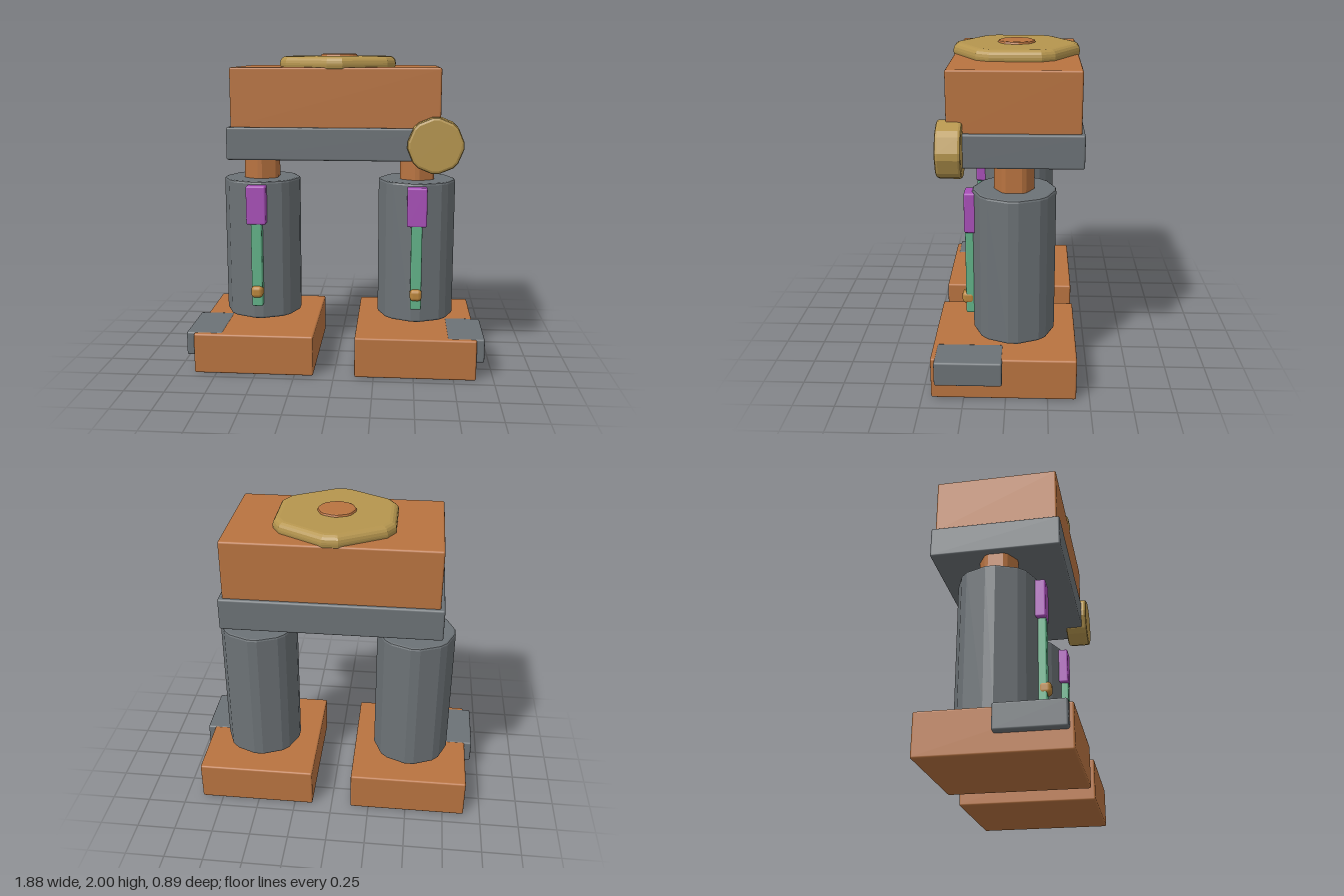
import * as THREE from 'three';
import { RoundedBoxGeometry } from 'three/addons/geometries/RoundedBoxGeometry.js';

const material = (name, color, flatShading = false) => {
  const m = new THREE.MeshStandardMaterial({ color, flatShading });
  m.name = name;
  return m;
};

export function createModel() {
  const group = new THREE.Group();
  const orange = material('copper orange', 0xb87340);
  const grey = material('steel grey', 0x6c7276);
  const gold = material('brass gold', 0xb5954e);
  const purple = material('purple', 0xa84fb8);
  const green = material('green', 0x62b288);
  const amber = material('amber', 0xb9853c);

  const add = (name, geometry, mat, parent = group) => {
    const mesh = new THREE.Mesh(geometry, mat);
    mesh.name = name;
    parent.add(mesh);
    return mesh;
  };

  // Softly bevelled box given by its limits on each axis
  const box = (name, [x0, x1], [y0, y1], [z0, z1], mat, parent, bevel = 0.012) => {
    const g = new RoundedBoxGeometry(x1 - x0, y1 - y0, z1 - z0, 2, bevel);
    g.translate((x0 + x1) / 2, (y0 + y1) / 2, (z0 + z1) / 2);
    return add(name, g, mat, parent);
  };

  // Prism along z from 0 to depth, with trimmed corners and bevelled rims
  const prism = (sides, radius, depth, bevel, segments = 2) => {
    const trim = 0.12, points = [];
    for (let i = 0; i < sides; i++) {
      for (const s of [-1, 1]) {
        const a = Math.PI / 2 + (i * 2 * Math.PI) / sides + s * trim;
        const r = radius / Math.cos(trim);
        points.push(new THREE.Vector2(r * Math.cos(a), r * Math.sin(a)));
      }
    }
    const g = new THREE.ExtrudeGeometry(new THREE.Shape(points), {
      depth: depth - 2 * bevel, bevelEnabled: true, bevelThickness: bevel,
      bevelSize: bevel, bevelOffset: -bevel, bevelSegments: segments,
    });
    return g.translate(0, 0, bevel);
  };
  const upright = (name, sides, radius, y0, y1, bevel, mat, parent, segments) => {
    const mesh = add(name, prism(sides, radius, y1 - y0, bevel, segments).rotateX(-Math.PI / 2), mat, parent);
    mesh.position.set(0, y0, -0.04);
    return mesh;
  };

  // Legs, mirrored by side
  for (const s of [1, -1]) {
    const leg = new THREE.Group();
    leg.name = s > 0 ? 'leftLeg' : 'rightLeg';
    leg.position.x = s * 0.51;
    group.add(leg);
    box('foot', [-0.38, 0.38], [0, 0.26], [-0.42, 0.445], orange, leg);
    const tab = s > 0 ? [0.2, 0.43] : [-0.43, -0.2];
    box('footTab', tab, [0.11, 0.263], [0.02, 0.42], grey, leg);
    upright('shin', 8, 0.248, 0.29, 1.2, 0.014, grey, leg);
    upright('hipPost', 6, 0.119, 1.15, 1.4, 0.01, orange, leg);

    // Piston on the front of the shin
    box('pistonRod', [-0.035, 0.035], [0.39, 1.1], [0.15, 0.255], green, leg, 0.01);
    box('pistonHousing', [-0.063, 0.063], [0.93, 1.18], [0.15, 0.258], purple, leg);
    box('pistonBolt', [-0.038, 0.038], [0.45, 0.527], [0.2, 0.28], amber, leg, 0.025);
  }

  // Hips and upper body
  box('hipPlate', [-0.665, 0.665], [1.36, 1.56], [-0.445, 0.365], grey);
  box('body', [-0.64, 0.64], [1.55, 1.92], [-0.425, 0.345], orange);

  // Hatch on the roof
  upright('hatch', 6, 0.39, 1.89, 1.985, 0.042, gold, group, 4);
  upright('hatchCap', 8, 0.116, 1.93, 2, 0.014, orange, group);

  // Round lamp on the front left corner
  const lamp = add('lamp', prism(8, 0.17, 0.15, 0.018), gold);
  lamp.position.set(0.61, 1.46, 0.25);

  return group;
}
